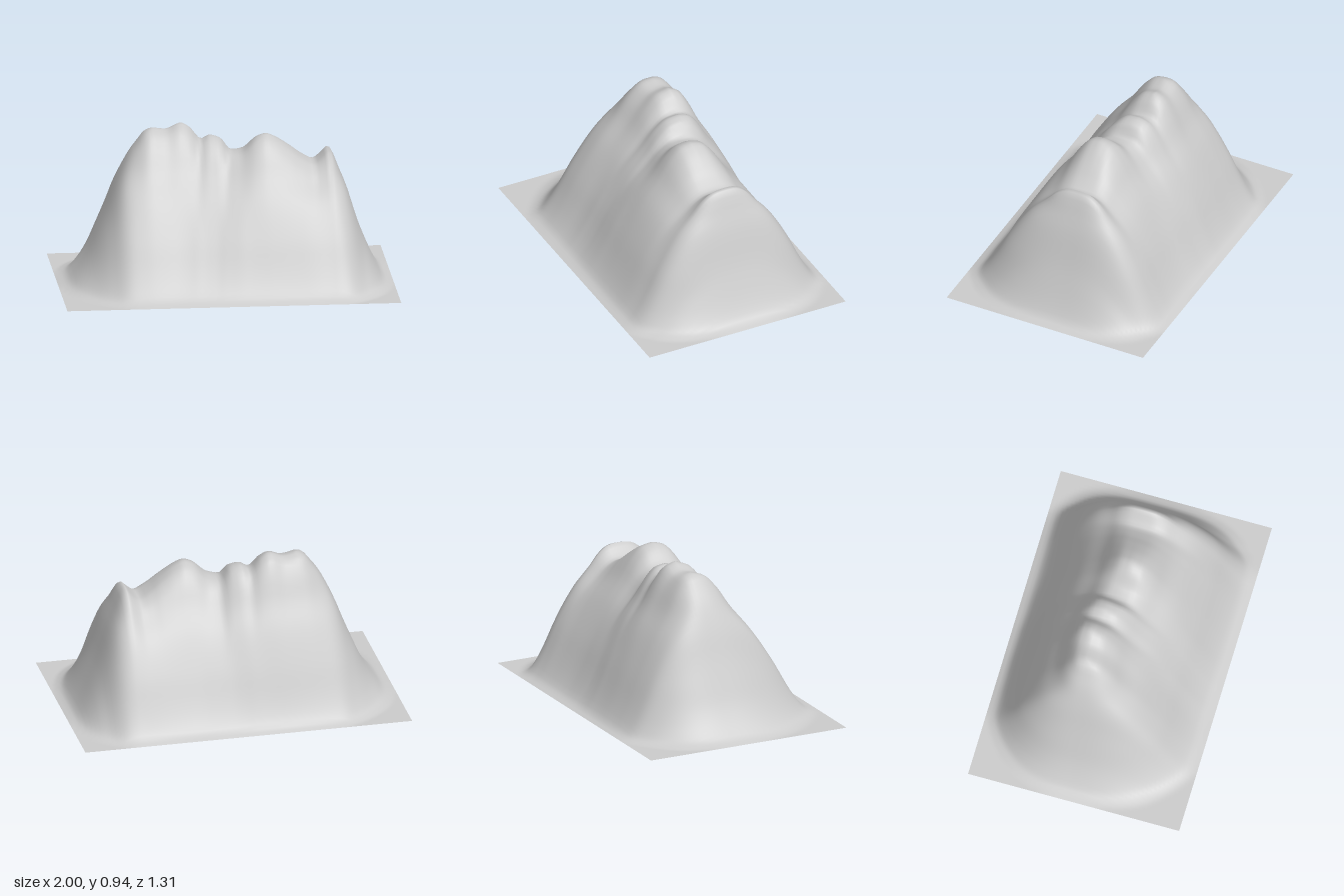
import * as THREE from 'three';

// Smooth curve through [x, y] points, without overshoot
function smoothCurve(pts) {
  const n = pts.length;
  const d = [];
  for (let i = 0; i < n - 1; i++) d.push((pts[i + 1][1] - pts[i][1]) / (pts[i + 1][0] - pts[i][0]));
  const m = pts.map((_, i) => {
    if (i === 0) return d[0];
    if (i === n - 1) return d[n - 2];
    const a = d[i - 1], b = d[i];
    return a * b <= 0 ? 0 : (2 * a * b) / (a + b);
  });
  return (x) => {
    if (x <= pts[0][0]) return pts[0][1];
    if (x >= pts[n - 1][0]) return pts[n - 1][1];
    let i = 0;
    while (x > pts[i + 1][0]) i++;
    const w = pts[i + 1][0] - pts[i][0];
    const t = (x - pts[i][0]) / w, s = 1 - t;
    return pts[i][1] * s * s * (1 + 2 * t) + pts[i + 1][1] * t * t * (3 - 2 * t)
      + w * t * s * (m[i] * s - m[i + 1] * t);
  };
}

const HALF_DEPTH = 0.655;
const PEAK = 0.94;

// Height of the ridge line between the two end shoulders
const crest = smoothCurve([
  [-0.42, 0.92], [-0.34, 0.908], [-0.25, 0.94], [-0.2, 0.915], [-0.13, 0.84], [-0.08, 0.866],
  [-0.02, 0.85], [0.04, 0.78], [0.1, 0.79], [0.2, 0.875], [0.25, 0.89], [0.3, 0.87], [0.4, 0.8],
  [0.47, 0.745], [0.54, 0.71], [0.58, 0.74], [0.62, 0.782],
]);

// Where the ridge line lies in z
const ridgeZ = smoothCurve([
  [-1, -0.05], [-0.5, -0.08], [-0.25, -0.11], [-0.08, -0.085], [0.1, -0.02], [0.25, 0], [0.45, -0.01], [0.62, -0.04], [1, -0.04],
]);

// Slope from the ridge (0) to the rim (1), as a share of the peak height
const slope = smoothCurve([
  [0, 1], [0.1, 0.973], [0.2, 0.885], [0.31, 0.745], [0.47, 0.58], [0.65, 0.35],
  [0.77, 0.176], [0.85, 0.08], [0.92, 0.022], [1, 0],
]);

// Progress from each end shoulder (0) out to the rim (1)
const leftEnd = smoothCurve([
  [0.62, 0], [0.66, 0.2], [0.7, 0.335], [0.8, 0.65], [0.85, 0.745], [0.9, 0.835], [0.95, 0.925], [1, 1],
]);
const rightEnd = smoothCurve([
  [0.42, 0], [0.5, 0.155], [0.6, 0.3], [0.7, 0.54], [0.8, 0.725], [0.9, 0.865], [0.95, 0.935], [1, 1],
]);

function heightAt(x, z) {
  const c = ridgeZ(x);
  // Gullies lean slightly sideways as they run down
  const h = crest(x + 0.12 * (z - c) * Math.max(0, 1 - (x / 0.62) ** 2));
  const t = z > c ? (z - c) / (HALF_DEPTH - c) : (c - z) / (HALF_DEPTH + c);
  // Side and end slopes meet in rounded corners
  const e = x > 0 ? leftEnd(x) : rightEnd(-x);
  const p = x > 0 ? 3 : 2.6;
  const u = slope((t ** p + e ** p) ** (1 / p));
  // Low crests get a flatter top, so the feet of all slopes line up
  return h * (1 - (1 - u) ** ((PEAK / h) ** 1.5));
}

export function createModel() {
  const group = new THREE.Group();
  group.name = 'mountain';

  const stone = new THREE.MeshStandardMaterial({ color: 0xcccccc, side: THREE.DoubleSide });
  stone.name = 'grey stone';

  // Open terrain sheet raised by the height rule
  const geometry = new THREE.PlaneGeometry(2, HALF_DEPTH * 2, 100, 60);
  geometry.rotateX(-Math.PI / 2);
  const pos = geometry.attributes.position;
  for (let i = 0; i < pos.count; i++) pos.setY(i, heightAt(pos.getX(i), pos.getZ(i)));
  geometry.computeVertexNormals();

  const terrain = new THREE.Mesh(geometry, stone);
  terrain.name = 'mountainSurface';
  group.add(terrain);
  return group;
}
